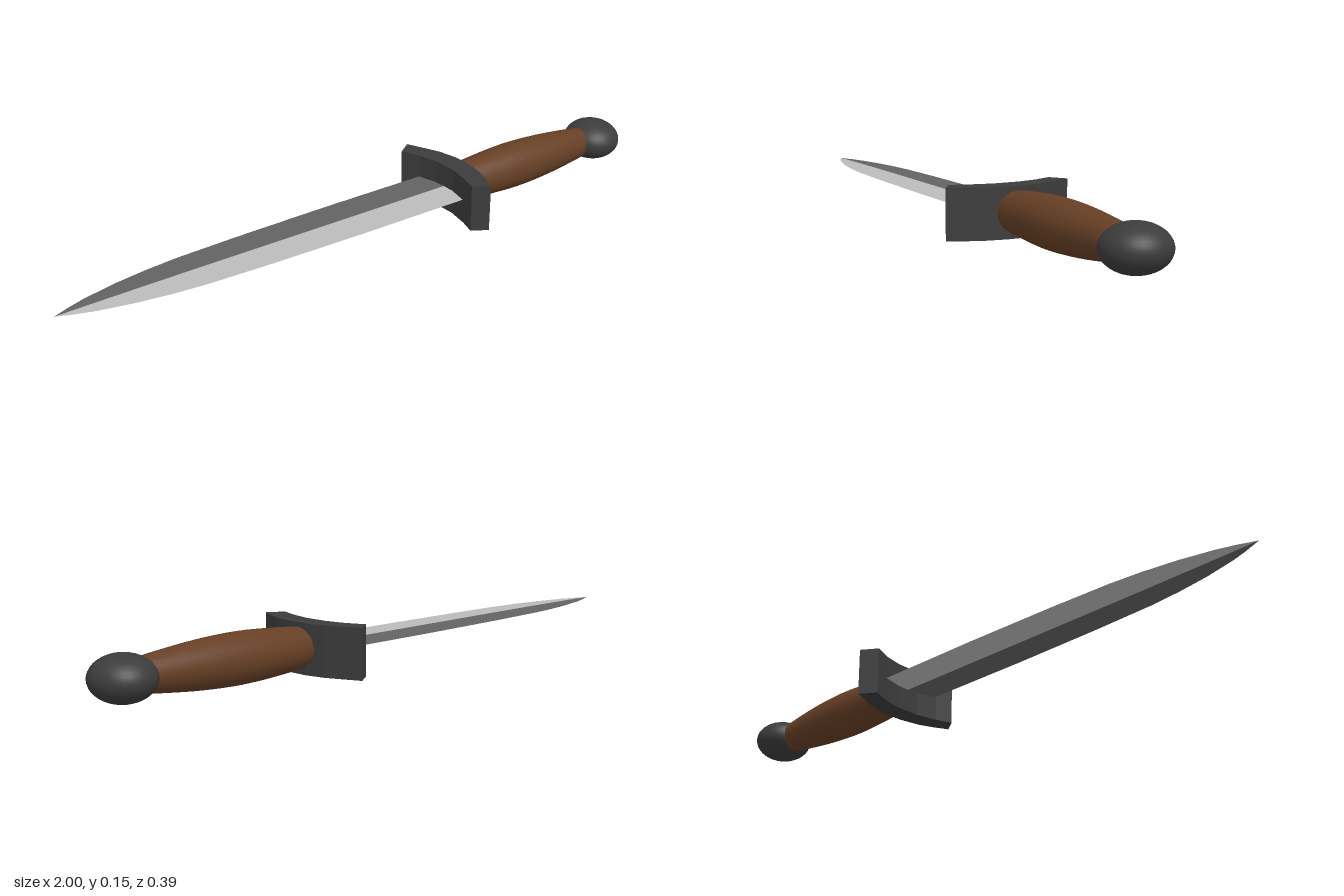
import * as THREE from 'three';

const MID_Y = 0.074;
const paint = (color, flatShading = false) => new THREE.MeshStandardMaterial({ color, flatShading });

function addMesh(parent, name, geometry, material) {
  const mesh = new THREE.Mesh(geometry, material);
  mesh.name = name;
  parent.add(mesh);
  return mesh;
}

// One bevel of the blade: a strip from the centre ridge to the edge at side * width.
function bevelGeometry(side) {
  const outline = [[-1, 0], [-0.95, 0.021], [-0.9, 0.038], [-0.8, 0.062], [-0.7, 0.078],
    [-0.6, 0.088], [-0.4, 0.096], [-0.1, 0.102], [0.29, 0.103]];
  const points = [], index = [];
  outline.forEach(([x, width], i) => {
    points.push(x, 0.0025 * Math.min(1, width / 0.09), 0, x, 0, side * width);
    if (i === 0) return;
    const a = 2 * i - 2, b = a + 1, c = a + 2, d = a + 3;
    if (side > 0) index.push(a, b, d, a, d, c);
    else index.push(a, d, b, a, c, d);
  });
  const geometry = new THREE.BufferGeometry();
  geometry.setAttribute('position', new THREE.Float32BufferAttribute(points, 3));
  geometry.setIndex(index);
  geometry.computeVertexNormals();
  return geometry;
}

export function createModel() {
  const model = new THREE.Group();
  model.name = 'dagger';
  const iron = paint(0x3c3c3c);

  // Blade: two bevels per face, the lower face being the upper one turned over
  const blade = new THREE.Group();
  blade.name = 'blade';
  blade.position.y = MID_Y;
  model.add(blade);
  const lightSteel = paint(0xbbbbbb, true), darkSteel = paint(0x636363, true);
  for (const [face, turn] of [['upper', 0], ['lower', Math.PI]]) {
    addMesh(blade, face + 'LightBevel', bevelGeometry(1), lightSteel).rotation.x = turn;
    addMesh(blade, face + 'DarkBevel', bevelGeometry(-1), darkSteel).rotation.x = turn;
  }

  // Crossguard: curved outline in plan (x, z), extruded upwards
  const plan = [[0.283, -0.194], [0.307, -0.142], [0.33, -0.09], [0.343, -0.03], [0.345, 0.03],
    [0.335, 0.1], [0.319, 0.145], [0.297, 0.194], [0.25, 0.163], [0.266, 0.11],
    [0.279, 0.04], [0.276, -0.04], [0.262, -0.1], [0.235, -0.16]];
  const guardShape = new THREE.Shape(plan.map(([x, z]) => new THREE.Vector2(x, -z)));
  const guard = new THREE.ExtrudeGeometry(guardShape, { depth: 0.146, bevelEnabled: false });
  guard.rotateX(-Math.PI / 2);
  addMesh(model, 'crossguard', guard, paint(0x3c3c3c, true));

  // Grip: swelling turned handle along x
  const swell = new THREE.SplineCurve([[0.057, 0.32], [0.066, 0.42], [0.072, 0.55],
    [0.067, 0.68], [0.055, 0.8], [0.046, 0.87]].map(([r, x]) => new THREE.Vector2(r, x)));
  const profile = [new THREE.Vector2(0, 0.32), ...swell.getPoints(20), new THREE.Vector2(0, 0.87)];
  const grip = addMesh(model, 'grip', new THREE.LatheGeometry(profile, 32), paint(0x663f25));
  grip.rotation.z = -Math.PI / 2;
  grip.position.y = MID_Y;

  // Pommel: flattened ball
  const pommel = addMesh(model, 'pommel', new THREE.SphereGeometry(1, 32, 20), iron);
  pommel.scale.set(0.088, 0.064, 0.092);
  pommel.position.set(0.912, MID_Y, 0);

  return model;
}
